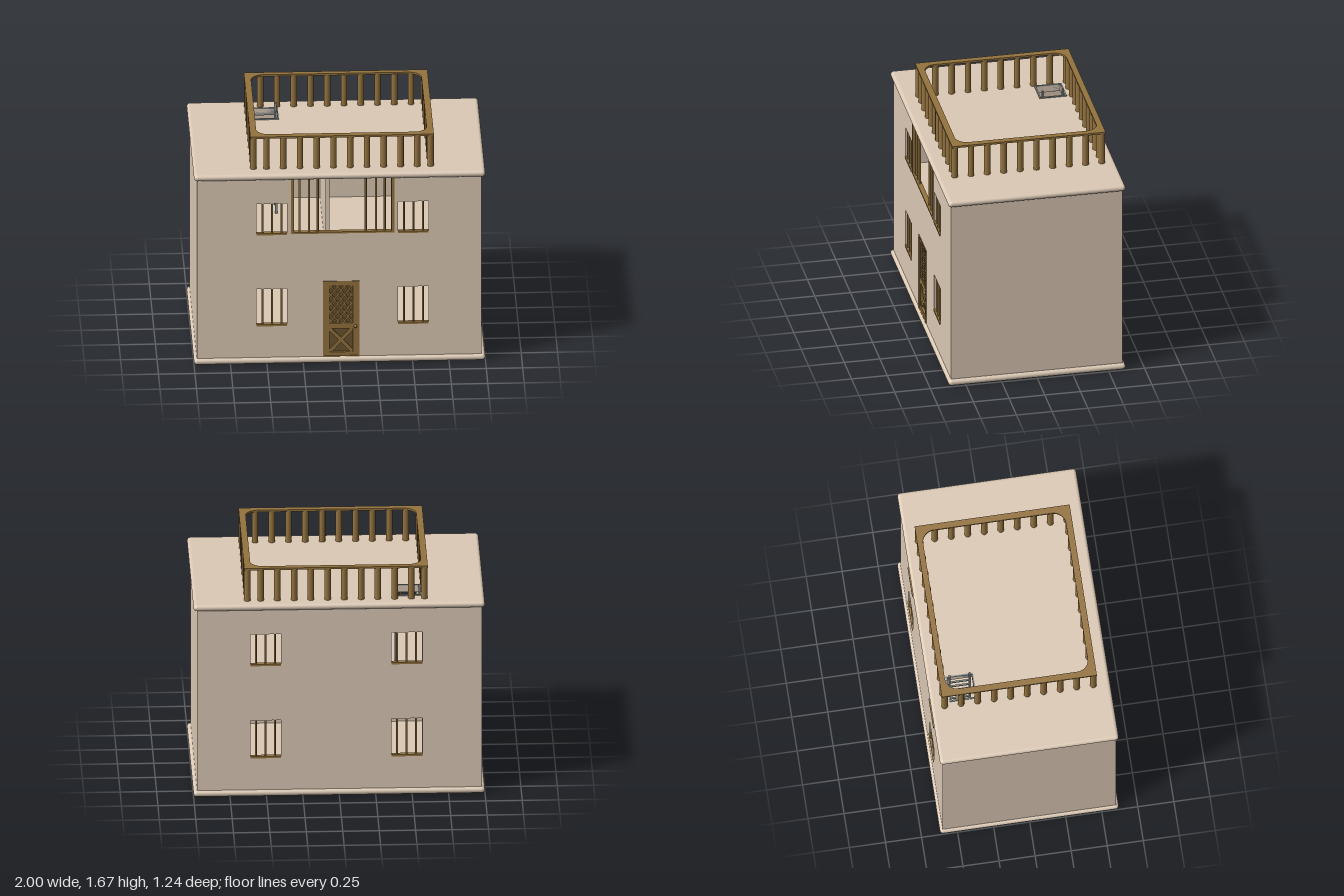
import * as THREE from 'three';

const mat = (color) => new THREE.MeshStandardMaterial({ color });
const plaster = mat(0xdcc9b5), wood = mat(0x94733f), darkWood = mat(0x6b5430), metal = mat(0x8f9694);

function add(parent, name, geometry, material, x = 0, y = 0, z = 0) {
  const mesh = new THREE.Mesh(geometry, material);
  mesh.name = name;
  mesh.position.set(x, y, z);
  parent.add(mesh);
  return mesh;
}

// box given by its limits
function box(parent, name, material, x0, x1, y0, y1, z0, z1) {
  return add(parent, name, new THREE.BoxGeometry(x1 - x0, y1 - y0, z1 - z0), material,
    (x0 + x1) / 2, (y0 + y1) / 2, (z0 + z1) / 2);
}

// flat bar between two points of a plane facing z
function strip(parent, name, a, b, width, z, depth, material) {
  const dx = b[0] - a[0], dy = b[1] - a[1];
  const m = add(parent, name, new THREE.BoxGeometry(Math.hypot(dx, dy), width, depth), material,
    (a[0] + b[0]) / 2, (a[1] + b[1]) / 2, z);
  m.rotation.z = Math.atan2(dy, dx);
}

function rect(path, x0, x1, y0, y1) {
  path.moveTo(x0, y0).lineTo(x1, y0).lineTo(x1, y1).lineTo(x0, y1).closePath();
  return path;
}

// plate with rectangular holes, each [x0, x1, y0, y1]
function plate(x0, x1, y0, y1, holes, depth) {
  const shape = rect(new THREE.Shape(), x0, x1, y0, y1);
  for (const h of holes) shape.holes.push(rect(new THREE.Path(), ...h));
  return new THREE.ExtrudeGeometry(shape, { depth, bevelEnabled: false });
}

const T = 0.025; // wall thickness
const WINDOWS = [];
for (const [x0, x1] of [[-0.57, -0.36], [0.40, 0.61]])
  for (const [y0, y1] of [[0.28, 0.56], [0.965, 1.2]]) WINDOWS.push([x0, x1, y0, y1]);
const DOOR = [-0.115, 0.135, 0.045, 0.61];
const OPENING = [-0.335, 0.375, 0.97, 1.385];
const HATCH = [-0.555, -0.39, -0.48, -0.31]; // x and z limits

// slab with a half-round rim, optionally with a hatch
function slab(parent, name, y, holes) {
  const g = new THREE.Group(), r = 0.0225, X = 1 - r, Z = 0.62 - r;
  g.name = name;
  const m = add(g, name + 'Plate', plate(-X, X, -Z, Z, holes, 2 * r), plaster, 0, 2 * r, 0);
  m.rotation.x = Math.PI / 2;
  for (const s of [-1, 1]) {
    add(g, name + 'LongRim', new THREE.CylinderGeometry(r, r, 2 * X, 20), plaster, 0, r, s * Z).rotation.z = Math.PI / 2;
    add(g, name + 'SideRim', new THREE.CylinderGeometry(r, r, 2 * Z, 20), plaster, s * X, r, 0).rotation.x = Math.PI / 2;
    for (const t of [-1, 1]) add(g, name + 'Corner', new THREE.SphereGeometry(r, 20, 12), plaster, s * X, r, t * Z);
  }
  g.position.y = y;
  parent.add(g);
}

function buildShell(house) {
  slab(house, 'baseSlab', 0, []);
  slab(house, 'roofSlab', 1.38, [HATCH]);
  add(house, 'frontWall', plate(-0.98, 0.975, 0.03, 1.39, [...WINDOWS, DOOR, OPENING], T), plaster, 0, 0, 0.6 - T);
  add(house, 'backWall', plate(-0.98, 0.975, 0.03, 1.39, WINDOWS, T), plaster, 0, 0, -0.6);
  box(house, 'rightWall', plaster, -0.98, -0.98 + T, 0.03, 1.39, -0.6 + T, 0.6 - T);
  box(house, 'leftWall', plaster, 0.975 - T, 0.975, 0.03, 1.39, -0.6 + T, 0.6 - T);
  box(house, 'upperFloor', plaster, -0.96, 0.955, 0.68, 0.71, -0.58, 0.58);
  box(house, 'partition', plaster, -0.085, -0.06, 0.71, 1.385, -0.58, 0.33);
}

function buildWindow(house, [x0, x1, y0, y1], side) {
  const g = new THREE.Group();
  g.name = 'window';
  const z = side * 0.59;
  box(g, 'windowSill', wood, x0, x1, y0, y0 + 0.014, z - 0.015, z + 0.015);
  for (const t of [0.2, 0.51, 0.82])
    add(g, 'windowBar', new THREE.CylinderGeometry(0.007, 0.007, y1 - y0, 10), wood, x0 + t * (x1 - x0), (y0 + y1) / 2, z);
  house.add(g);
}

// wide upper opening with a wooden frame and bars at both ends
function buildOpening(house) {
  const [x0, x1, y0, y1] = OPENING;
  box(house, 'openingSill', wood, x0, x1, y0, y0 + 0.012, 0.57, 0.604);
  box(house, 'openingJamb', wood, x0, x0 + 0.02, y0, y1, 0.57, 0.604);
  box(house, 'openingJamb', wood, x1 - 0.02, x1, y0, y1, 0.57, 0.604);
  for (const x of [-0.275, -0.21, -0.15, 0.18, 0.25, 0.31])
    add(house, 'openingBar', new THREE.CylinderGeometry(0.008, 0.008, y1 - y0, 10), wood, x, (y0 + y1) / 2, 0.585);
}

function buildDoor(house) {
  const g = new THREE.Group();
  g.name = 'door';
  const [x0, x1, y0, y1] = DOOR;
  const top = [-0.07, 0.09, 0.29, 0.57], low = [-0.07, 0.09, 0.075, 0.25];
  add(g, 'doorFrame', plate(x0, x1, y0, y1, [[x0 + 0.012, x1 - 0.012, y0 + 0.003, y1 - 0.012]], 0.034), wood, 0, 0, 0.57);
  add(g, 'doorLeaf', plate(x0 + 0.012, x1 - 0.012, y0 + 0.003, y1 - 0.012, [top, low], 0.022), wood, 0, 0, 0.575);
  box(g, 'doorBacking', darkWood, x0 + 0.012, x1 - 0.012, y0 + 0.003, y1 - 0.012, 0.568, 0.58);

  // diamond lattice: slanted strips clipped to the upper panel
  const slope = 1.4, [l, r, b, t] = top;
  for (let c = b - slope * (r - l) + 0.03; c < t; c += 0.065) {
    const u0 = Math.max(0, (b - c) / slope), u1 = Math.min(r - l, (t - c) / slope);
    if (u1 - u0 < 0.01) continue;
    strip(g, 'lattice', [l + u0, c + slope * u0], [l + u1, c + slope * u1], 0.011, 0.586, 0.014, wood);
    strip(g, 'lattice', [r - u0, c + slope * u0], [r - u1, c + slope * u1], 0.011, 0.586, 0.014, wood);
  }
  // crossed brace of the lower panel
  strip(g, 'brace', [low[0], low[2]], [low[1], low[3]], 0.025, 0.585, 0.014, wood);
  strip(g, 'brace', [low[0], low[3]], [low[1], low[2]], 0.025, 0.586, 0.014, wood);
  add(g, 'doorKnob', new THREE.SphereGeometry(0.012, 16, 12), wood, 0.108, 0.27, 0.605);
  house.add(g);
}

function buildRailing(house) {
  const g = new THREE.Group();
  g.name = 'roofRailing';
  // handrail: square outside, rounded corners inside
  const shape = rect(new THREE.Shape(), -0.61, 0.65, -0.55, 0.525);
  const hole = new THREE.Path(), r = 0.085, a = -0.565, b = 0.605, c = -0.51, d = 0.48;
  hole.absarc(b - r, d - r, r, 0, Math.PI / 2);
  hole.absarc(a + r, d - r, r, Math.PI / 2, Math.PI);
  hole.absarc(a + r, c + r, r, Math.PI, Math.PI * 1.5);
  hole.absarc(b - r, c + r, r, Math.PI * 1.5, Math.PI * 2);
  shape.holes.push(hole);
  const rail = new THREE.ExtrudeGeometry(shape, { depth: 0.014, bevelEnabled: false, curveSegments: 10 });
  add(g, 'handrail', rail, wood, 0, 1.67, 0).rotation.x = Math.PI / 2;

  const post = new THREE.CylinderGeometry(0.022, 0.022, 0.24, 20);
  const place = (x, z) => add(g, 'baluster', post, wood, x, 1.54, z);
  for (const z of [-0.528, 0.503]) {
    for (let i = 0; i < 11; i++) place(i ? -0.498 + (i - 1) * 0.115 : -0.588, z);
    place(0.628, z);
  }
  for (const x of [-0.588, 0.628])
    for (let i = 1; i < 9; i++) place(x, 0.503 - i * 0.1146);
  house.add(g);
}

// roof hatch rim and the ladder that reaches through it
function buildHatch(house) {
  const g = new THREE.Group();
  g.name = 'roofHatch';
  const [x0, x1, z0, z1] = HATCH;
  const rim = plate(x0 - 0.01, x1 + 0.01, z0 - 0.01, z1 + 0.01, [HATCH], 0.055);
  rim.rotateX(Math.PI / 2);
  // the slab opening is laid out in the same plan coordinates
  add(g, 'hatchRim', rim, metal, 0, 1.433, 0);
  for (const z of [-0.465, -0.325]) box(g, 'ladderRail', metal, -0.405, -0.388, 0.71, 1.475, z - 0.006, z + 0.006);
  for (let y = 0.78; y < 1.4; y += 0.08) box(g, 'ladderRung', metal, -0.402, -0.391, y, y + 0.012, -0.465, -0.325);
  house.add(g);
}

// open shelf against the right wall
function buildShelf(house, y) {
  const g = new THREE.Group();
  g.name = 'shelf';
  for (const z of [-0.05, 0.2]) box(g, 'shelfSide', wood, -0.955, -0.82, 0, 0.3, z, z + 0.015);
  for (const h of [0.03, 0.15, 0.285]) box(g, 'shelfBoard', wood, -0.955, -0.82, h, h + 0.015, -0.035, 0.2);
  g.position.y = y;
  house.add(g);
}

export function createModel() {
  const house = new THREE.Group();
  house.name = 'house';
  buildShell(house);
  for (const side of [-1, 1]) for (const w of WINDOWS) buildWindow(house, w, side);
  buildOpening(house);
  buildDoor(house);
  buildRailing(house);
  buildHatch(house);
  for (const y of [0.045, 0.71]) buildShelf(house, y);
  return house;
}
